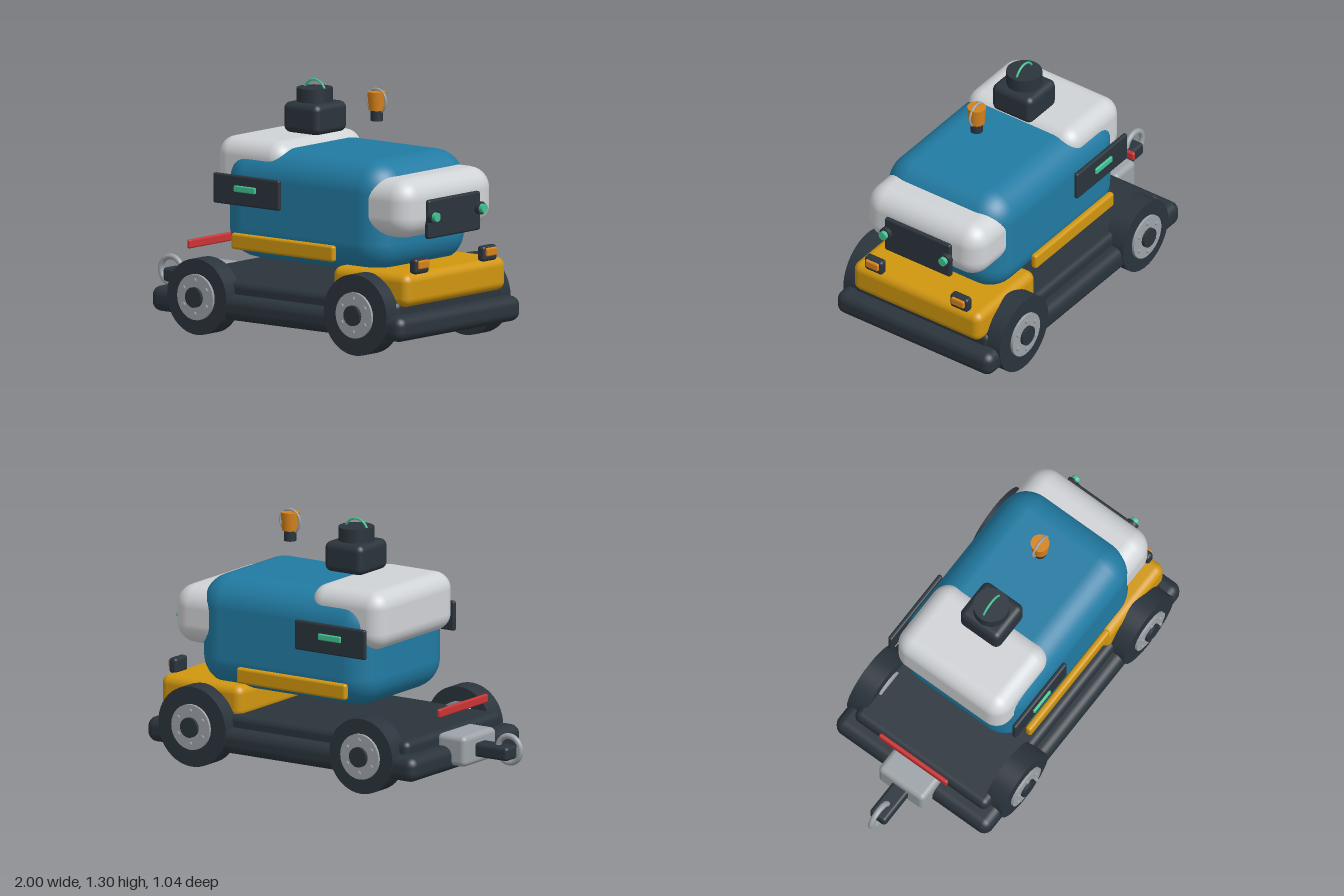
import * as THREE from 'three';
import { RoundedBoxGeometry } from 'three/addons/geometries/RoundedBoxGeometry.js';

const mat = (name, color) => {
  const m = new THREE.MeshStandardMaterial({ color });
  m.name = name;
  return m;
};

export function createModel() {
  const dark = mat('charcoal', 0x2b343c);
  const teal = mat('teal', 0x217ba3);
  const white = mat('white', 0xd0d3d6);
  const yellow = mat('yellow', 0xd0960f);
  const amber = mat('amber', 0xd5821c);
  const green = mat('green', 0x42c493);
  const red = mat('red', 0xc93434);
  const grey = mat('grey', 0x9da3a8);

  const root = new THREE.Group();
  root.name = 'utilityCart';

  const add = (name, geometry, material, x = 0, y = 0, z = 0, parent = root) => {
    const m = new THREE.Mesh(geometry, material);
    m.name = name;
    m.position.set(x, y, z);
    parent.add(m);
    return m;
  };
  // Rounded box given by its extents on each axis
  const block = (name, material, [x0, x1], [y0, y1], [z0, z1], r) =>
    add(name, new RoundedBoxGeometry(x1 - x0, y1 - y0, z1 - z0, 5, r), material,
      (x0 + x1) / 2, (y0 + y1) / 2, (z0 + z1) / 2);
  const cylX = (r, len, n = 24) => new THREE.CylinderGeometry(r, r, len, n).rotateZ(Math.PI / 2);
  const cylZ = (r, len, n = 32) => new THREE.CylinderGeometry(r, r, len, n).rotateX(Math.PI / 2);

  // Chassis
  block('lowerDeck', dark, [-0.66, 1.0], [0.09, 0.22], [-0.487, 0.487], 0.05);
  block('upperDeck', dark, [-0.58, 0.92], [0.15, 0.285], [-0.42, 0.42], 0.035);
  block('frontFender', yellow, [0.47, 0.97], [0.257, 0.427], [-0.4, 0.4], 0.045);

  // Body and caps
  block('body', teal, [-0.3, 0.785], [0.39, 0.97], [-0.378, 0.378], 0.16);
  block('rearCap', white, [-0.355, 0.097], [0.7, 1.005], [-0.345, 0.345], 0.09);
  block('nose', white, [0.5, 0.935], [0.59, 0.895], [-0.365, 0.365], 0.11);
  block('facePanel', dark, [0.922, 0.955], [0.587, 0.787], [-0.205, 0.205], 0.012);

  for (const s of [1, -1]) {
    const span = (a, b) => (s > 0 ? [a, b] : [-b, -a]);
    // Side fittings
    block('sidePanel', dark, [-0.305, 0.13], [0.673, 0.828], span(0.382, 0.407), 0.01);
    block('sideLight', green, [-0.16, -0.02], [0.744, 0.777], span(0.4, 0.418), 0.006);
    block('sideStrip', yellow, [-0.185, 0.49], [0.447, 0.53], span(0.375, 0.41), 0.014);

    // Face lights and headlights
    add('faceLightRim', cylX(0.033, 0.03), dark, 0.962, 0.703, s * 0.187);
    add('faceLight', cylX(0.023, 0.03), green, 0.982, 0.703, s * 0.187);
    block('headlightHousing', dark, [0.92, 0.967], [0.42, 0.5], span(0.213, 0.324), 0.016);
    block('headlight', amber, [0.95, 0.98], [0.447, 0.49], span(0.229, 0.309), 0.008);

    // Wheels with through hubs, caps and bolts
    for (const [name, x, y, r] of [['rearWheel', -0.34, 0.195, 0.195], ['frontWheel', 0.705, 0.208, 0.208]]) {
      const wheel = new THREE.Group();
      wheel.name = name;
      wheel.position.set(x, y, s * 0.435);
      root.add(wheel);
      add('tyre', cylZ(r, 0.112, 48), dark, 0, 0, 0, wheel);
      add('hub', cylZ(0.118, 0.14), grey, 0, 0, 0, wheel);
      add('hubCap', cylZ(0.052, 0.174, 24), dark, 0, 0, 0, wheel);
      for (let i = 0; i < 6; i++) {
        const a = (i / 6) * Math.PI * 2 + Math.PI / 6;
        add('bolt', cylZ(0.011, 0.02, 10), grey, Math.cos(a) * 0.086, Math.sin(a) * 0.086, s * 0.07, wheel);
      }
    }
  }

  // Rear hitch and bar
  block('hitchBlock', grey, [-0.74, -0.565], [0.12, 0.28], [-0.145, 0.145], 0.028);
  block('towBar', dark, [-0.935, -0.7], [0.16, 0.232], [-0.05, 0.05], 0.018);
  add('towRing', new THREE.TorusGeometry(0.069, 0.015, 12, 40), grey, -0.916, 0.215, 0);
  block('rearBar', red, [-0.637, -0.615], [0.38, 0.425], [-0.215, 0.215], 0.009);

  // Sensor on top
  block('sensorBase', dark, [-0.085, 0.15], [1.023, 1.18], [-0.125, 0.125], 0.035);
  add('sensorDrum', new THREE.CylinderGeometry(0.092, 0.092, 0.1, 32), dark, 0.03, 1.2, 0);
  add('sensorArc', new THREE.TorusGeometry(0.07, 0.006, 8, 32, Math.PI), green, 0.03, 1.22, 0);

  // Beacon
  add('beaconStem', new THREE.CylinderGeometry(0.032, 0.032, 0.06, 20), dark, 0.44, 1.15, 0);
  add('beaconLamp', new THREE.CylinderGeometry(0.048, 0.042, 0.095, 28), amber, 0.44, 1.222, 0);
  add('beaconRing', new THREE.TorusGeometry(0.06, 0.007, 8, 36), grey, 0.44, 1.222, 0);

  return root;
}
